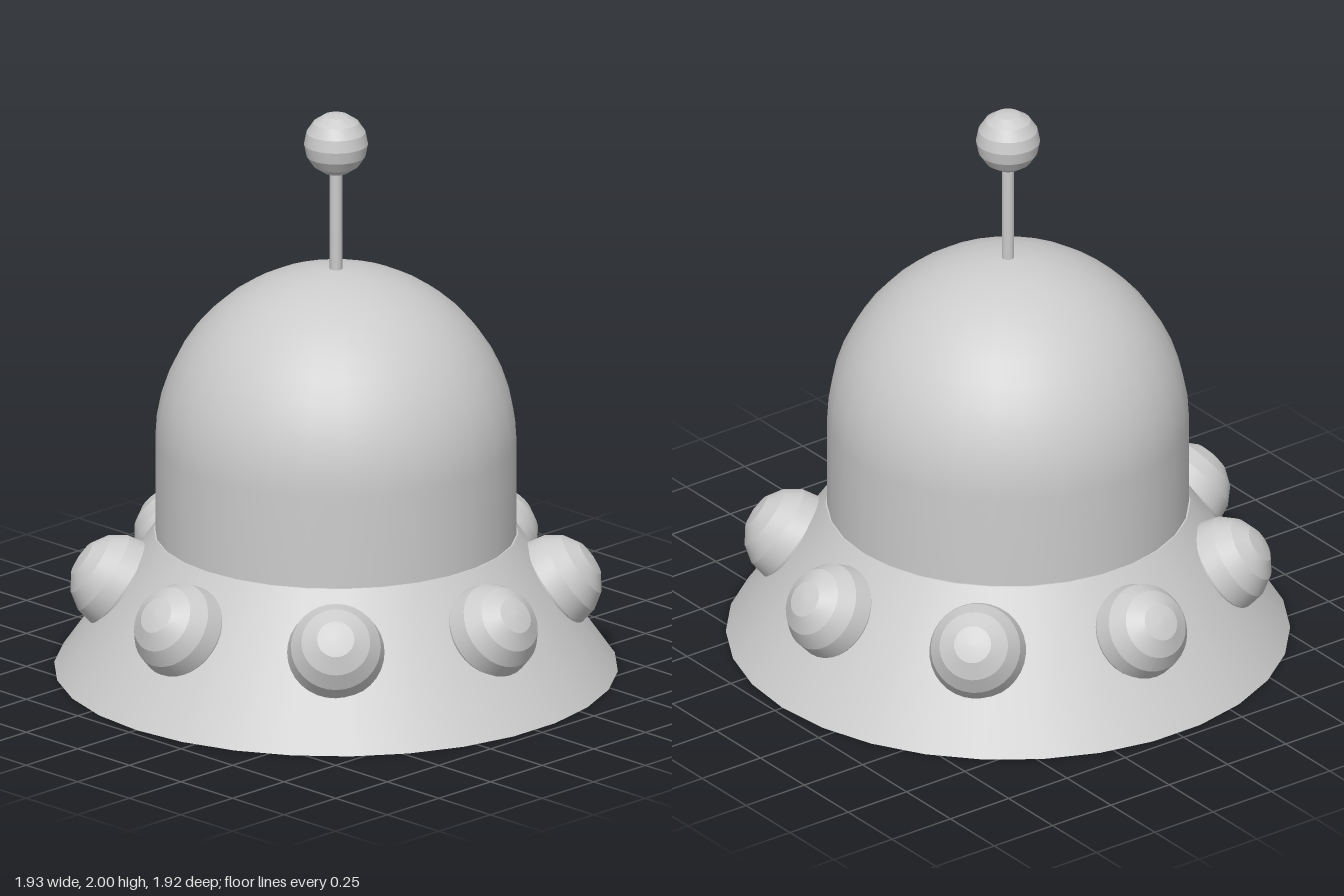
import * as THREE from 'three';
import { toCreasedNormals } from 'three/addons/utils/BufferGeometryUtils.js';

const SIDES = 30;
const BASE_RADIUS = 0.967, BASE_HEIGHT = 0.49, DOME_RADIUS = 0.62;

const material = new THREE.MeshStandardMaterial({ color: 0xcccccc });

function addPart(parent, name, geometry) {
  const mesh = new THREE.Mesh(geometry, material);
  mesh.name = name;
  parent.add(mesh);
  return mesh;
}

// Ball smooth around its axis but with visible bands from pole to pole
function bandedBall(radius) {
  return toCreasedNormals(new THREE.SphereGeometry(radius, 32, 8), THREE.MathUtils.degToRad(20));
}

export function createModel() {
  const model = new THREE.Group();
  model.name = 'saucer';

  // Flared base, closed underneath
  const base = addPart(model, 'flaredBase',
    new THREE.CylinderGeometry(DOME_RADIUS + 0.005, BASE_RADIUS, BASE_HEIGHT, SIDES));
  base.position.y = BASE_HEIGHT / 2;
  base.rotation.y = Math.PI / 2;

  // Dome: short straight wall running into a hemisphere
  const domeCentre = 0.82, rings = 12;
  const profile = [new THREE.Vector2(DOME_RADIUS, BASE_HEIGHT - 0.01)];
  for (let i = 0; i <= rings; i++) {
    const a = (i / rings) * Math.PI / 2;
    profile.push(new THREE.Vector2(
      i === rings ? 0 : DOME_RADIUS * Math.cos(a),
      domeCentre + DOME_RADIUS * Math.sin(a)));
  }
  const dome = addPart(model, 'dome', new THREE.LatheGeometry(profile, SIDES));
  dome.rotation.y = Math.PI / 2;

  // Antenna rod and tip
  const rod = addPart(model, 'antennaRod', new THREE.CylinderGeometry(0.022, 0.022, 0.4, 10));
  rod.position.y = 1.62;
  addPart(model, 'antennaBall', bandedBall(0.11)).position.y = 1.89;

  // Eight lamps half sunk in the slope, poles pointing out along its normal
  const lamps = new THREE.Group();
  lamps.name = 'lamps';
  model.add(lamps);
  const lampGeometry = bandedBall(0.167);
  const tilt = Math.atan2(BASE_HEIGHT, BASE_RADIUS - DOME_RADIUS);
  for (let i = 0; i < 8; i++) {
    const arm = new THREE.Group();
    arm.name = 'lampArm';
    arm.rotation.y = i * Math.PI / 4;
    const lamp = addPart(arm, 'lamp', lampGeometry);
    lamp.position.set(0, 0.302, 0.745);
    lamp.rotation.x = tilt;
    lamps.add(arm);
  }

  return model;
}
